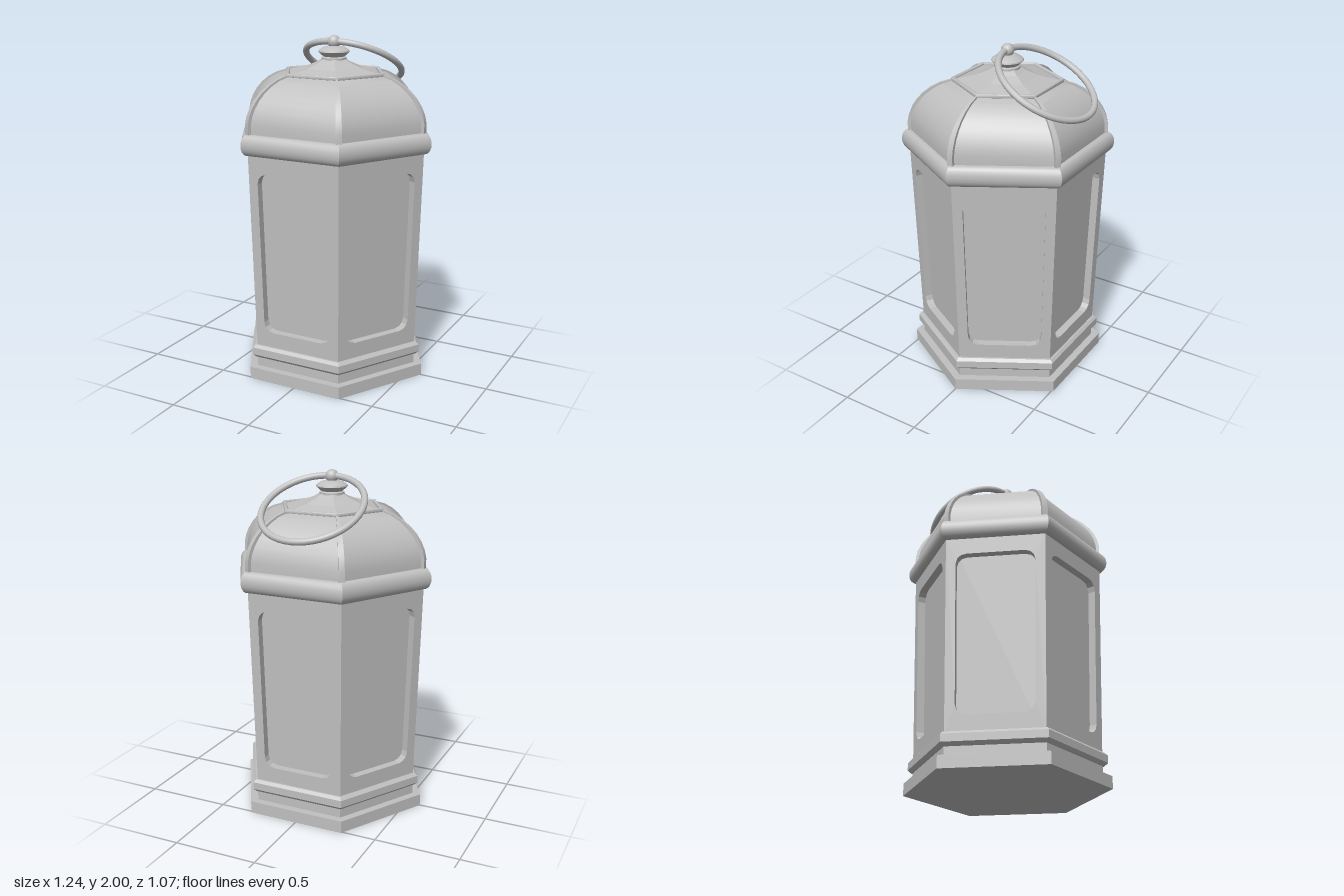
import * as THREE from 'three';
import { toCreasedNormals } from 'three/addons/utils/BufferGeometryUtils.js';

const metal = new THREE.MeshStandardMaterial({ color: 0xc0c0c0 });
metal.name = 'grey metal';

const SIDE = Math.cos(Math.PI / 6); // apothem of a hexagon with corner radius 1

function part(parent, name, geometry) {
  const mesh = new THREE.Mesh(geometry, metal);
  mesh.name = name;
  parent.add(mesh);
  return mesh;
}

const points = (list) => list.map(([x, y]) => new THREE.Vector2(x, y));

// Six-sided body from a profile of [corner radius, height], bottom to top
function hexBody(profile, crease = 0.35) {
  return toCreasedNormals(new THREE.LatheGeometry(points(profile), 6, Math.PI / 2), crease);
}

// Tapered wall with a window opening, sheared to follow the leaning side
function wallGeometry(bottom, top, rBottom, rTop, depth) {
  const wall = new THREE.Shape(points([
    [-rBottom / 2, bottom], [rBottom / 2, bottom], [rTop / 2, top], [-rTop / 2, top],
  ]));
  const [y0, y1, x0, x1, c] = [0.3, 1.26, 0.216, 0.228, 0.06];
  const hole = new THREE.Path();
  hole.moveTo(-x0 + c, y0);
  hole.lineTo(x0 - c, y0);
  hole.quadraticCurveTo(x0 - 0.005, y0 + 0.005, x0, y0 + c);
  hole.lineTo(x1, y1 - c);
  hole.quadraticCurveTo(x1 - 0.005, y1 - 0.005, x1 - c, y1);
  hole.lineTo(-x1 + c, y1);
  hole.quadraticCurveTo(-x1 + 0.005, y1 - 0.005, -x1, y1 - c);
  hole.lineTo(-x0, y0 + c);
  hole.quadraticCurveTo(-x0 + 0.005, y0 + 0.005, -x0 + c, y0);
  wall.holes.push(hole);
  const geometry = new THREE.ExtrudeGeometry(wall, { depth, bevelEnabled: false, curveSegments: 3 });
  const p = geometry.attributes.position;
  for (let i = 0; i < p.count; i++) {
    const r = rBottom + (rTop - rBottom) * (p.getY(i) - bottom) / (top - bottom);
    p.setZ(i, p.getZ(i) - depth + r * SIDE);
  }
  geometry.computeVertexNormals();
  return geometry;
}

// Raised strip that follows the dome profile and narrows toward the top
function ribGeometry(profile) {
  const outer = profile.map(([r, y]) => [r + 0.01, y + 0.006 * (y - 1.48) / 0.3]);
  const inner = profile.map(([r, y]) => [r - 0.03, y - 0.02]).reverse();
  const geometry = new THREE.ExtrudeGeometry(new THREE.Shape(points([...outer, ...inner])), {
    depth: 1, bevelEnabled: false,
  });
  const p = geometry.attributes.position;
  for (let i = 0; i < p.count; i++) {
    const width = 0.012 + 0.022 * (p.getX(i) - 0.3) / 0.28;
    p.setZ(i, (p.getZ(i) - 0.5) * width);
  }
  return toCreasedNormals(geometry, 0.5);
}

export function createModel() {
  const lantern = new THREE.Group();
  lantern.name = 'lantern';

  // Stepped foot and moulding
  part(lantern, 'base', hexBody([
    [0, 0], [0.59, 0], [0.59, 0.072], [0.54, 0.072], [0.54, 0.13],
    [0.55, 0.13], [0.57, 0.148], [0.57, 0.192], [0.553, 0.208], [0.4, 0.208],
  ]));

  // Recessed panes behind six framed walls
  const depth = 0.045;
  const inset = depth / SIDE;
  part(lantern, 'panes', hexBody([[0.54 - inset, 0.2], [0.573 - inset, 1.37]]));
  const wall = wallGeometry(0.2, 1.37, 0.54, 0.573, depth);
  for (let i = 0; i < 6; i++) {
    part(lantern, 'wallFrame', wall).rotation.y = i * Math.PI / 3;
  }

  // Rounded collar
  const collar = [[0.5, 1.357]];
  for (let i = 0; i <= 10; i++) {
    const a = -Math.PI / 2 + Math.PI * i / 10;
    collar.push([0.575 + 0.043 * Math.cos(a), 1.418 + 0.061 * Math.sin(a)]);
  }
  collar.push([0.5, 1.479]);
  part(lantern, 'collar', hexBody(collar, 0.6));

  // Dome with a rib on each corner
  const dome = [
    [0.567, 1.47], [0.567, 1.53], [0.557, 1.575], [0.538, 1.618], [0.51, 1.66],
    [0.473, 1.699], [0.427, 1.734], [0.372, 1.763], [0.305, 1.783],
  ];
  part(lantern, 'dome', hexBody(dome));
  const rib = ribGeometry(dome);
  for (let i = 0; i < 6; i++) {
    part(lantern, 'domeRib', rib).rotation.y = i * Math.PI / 3;
  }

  // Cap with a rim
  const rim = new THREE.TorusGeometry(0.308, 0.014, 12, 6).rotateX(Math.PI / 2);
  part(lantern, 'capRim', toCreasedNormals(rim, 0.8));
  lantern.getObjectByName('capRim').position.y = 1.787;
  part(lantern, 'cap', hexBody([[0.308, 1.785], [0.18, 1.815], [0.11, 1.843], [0.06, 1.872]], 0.1));

  // Turned finial and ball
  const finial = new THREE.LatheGeometry(points([
    [0.072, 1.85], [0.072, 1.872], [0.062, 1.878], [0.092, 1.905],
    [0.09, 1.912], [0.065, 1.93], [0.03, 1.938], [0, 1.938],
  ]), 32);
  part(lantern, 'finial', toCreasedNormals(finial, 0.5));
  part(lantern, 'finialBall', new THREE.SphereGeometry(0.038, 24, 16)).position.y = 1.962;

  // Carrying ring leaning toward the back
  const ring = part(lantern, 'carryingRing', new THREE.TorusGeometry(0.295, 0.019, 12, 48));
  ring.rotation.x = 1.058;
  ring.position.set(0, 1.964 - 0.295 * Math.cos(1.058), -0.295 * Math.sin(1.058));

  return lantern;
}
